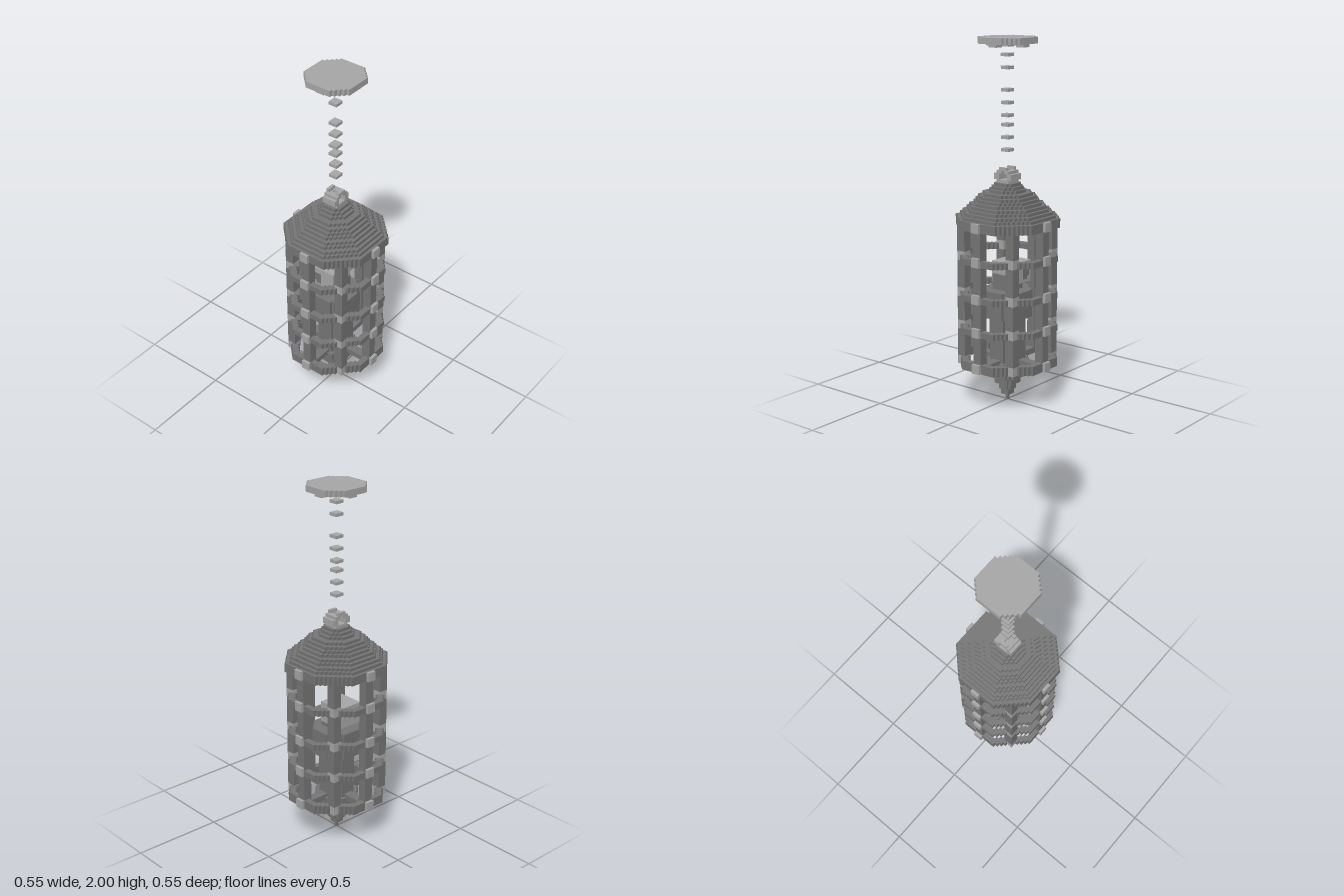
import * as THREE from 'three';

const U = 2 / 119; // edge of one cube cell
const { abs, floor, round, max } = Math;

// Octagonal footprint of radius r cells
const oct = (x, z, r, d = floor(1.414 * (r + 0.5) + 0.1)) =>
  r >= 0 && max(abs(x), abs(z)) <= r && abs(x) + abs(z) <= d;

const key = (x, y, z) => x + 20 + 40 * (z + 20) + 1600 * (y + 1);

export function createModel() {
  const iron = new THREE.MeshStandardMaterial({ name: 'darkIron', color: 0x777777 });
  const pale = new THREE.MeshStandardMaterial({ name: 'paleMetal', color: 0xa8a8a8 });
  const cells = new Map();
  const materials = {};

  // Fill the cells of layers y0..y1 that pass a test; later parts replace earlier ones
  function fill(part, material, y0, y1, test) {
    materials[part] = material;
    for (let y = y0; y <= y1; y++)
      for (let x = -16; x <= 16; x++)
        for (let z = -16; z <= 16; z++)
          if (test(x, z, y)) cells.set(key(x, y, z), { part, p: [x, y, z] });
  }

  // Ceiling plate with four bolts and a centre mount
  fill('ceilingPlate', pale, 117, 118, (x, z) => oct(x, z, 8));
  fill('ceilingBolts', pale, 116, 116, (x, z) =>
    [[0, 0], [6, 0], [-6, 0], [0, 6], [0, -6]].some(([a, b]) => abs(x - a) <= 1 && abs(z - b) <= 1));

  // Chain of loose links
  for (const y of [83, 87, 91, 94, 98, 102, 109, 113])
    fill('chainLinks', pale, y, y, (x, z) => abs(x) <= 1 && abs(z) <= 1);

  // Hollow stepped roof
  const roof = [15, 15, 15, 14, 13, 12, 11, 10, 9, 8, 7, 5, 4, 3, 2];
  roof.forEach((r, i) => fill('roof', iron, 59 + i, 59 + i, (x, z) =>
    oct(x, z, r) && !(i < 13 && oct(x, z, r - 3))));

  // Hanging ring on the roof
  const ringHalf = [2, 3, 3, 2, 1];
  fill('hangingRing', pale, 73, 77, (x, z, y) => {
    const hole = (y === 74 || y === 75) ? abs(x) <= 1 : y === 76 && x === 0;
    return abs(x) <= ringHalf[y - 73] && abs(z) <= 2 && !hole && !(y === 77 && abs(z) < 2);
  });

  // Eight cage bars
  const axisBar = (a, b) => abs(a) >= 13 && abs(a) <= 15 && abs(b) <= 1;
  const diagonalBar = (x, z) => abs(abs(x) - 10) <= 1 && abs(abs(z) - 10) <= 1;
  fill('cageBars', iron, 13, 60, (x, z) => axisBar(x, z) || axisBar(z, x) || diagonalBar(x, z));

  // Hoops round the bars
  for (const [y, h] of [[13, 3], [25, 2], [36, 2], [48, 2]])
    fill('hoops', iron, y, y + h - 1, (x, z) => oct(x, z, 15, 21) && !oct(x, z, 13, 18));

  // Rivet blocks where bars and hoops meet
  for (const y of [13, 25, 36, 48, 59])
    fill('rivets', pale, y, y + 2, (x, z) =>
      (abs(x) === 16 && abs(z) <= 1) || (abs(z) === 16 && abs(x) <= 1) ||
      (y < 59 && diagonalBar(x, z)));

  // Floor spokes and pointed bottom
  fill('floorSpokes', iron, 13, 14, (x, z) =>
    (abs(x) <= 1 && abs(z) <= 13) || (abs(z) <= 1 && abs(x) <= 13));
  fill('bottomPoint', iron, 0, 13, (x, z, y) => oct(x, z, round(y * 0.48)));

  // Inner column, drum and neck
  fill('innerColumn', iron, 13, 28, (x, z) => oct(x, z, 5));
  fill('innerDrum', iron, 29, 37, (x, z) => oct(x, z, 7));
  fill('neck', iron, 38, 40, (x, z) => abs(x) <= 3 && abs(z) <= 3);

  // Pale head block with dark front and side patches
  fill('headBlock', pale, 40, 46, (x, z) => abs(x) <= 4 && z >= -6 && z <= 2);
  fill('headFront', iron, 40, 42, (x, z) => abs(x) <= 3 && z >= 2 && z <= 3);
  fill('headSides', iron, 41, 44, (x, z, y) =>
    abs(x) === 4 && abs(z + 4) <= 1 && !(y === 41 && z === -5));

  // Turn the exposed cell faces into one mesh per part
  const faces = {};
  for (const { part, p } of cells.values()) {
    const f = (faces[part] ??= { pos: [], nor: [], idx: [] });
    for (let a = 0; a < 3; a++) for (const s of [1, -1]) {
      const n = [0, 0, 0];
      n[a] = s;
      if (cells.has(key(p[0] + n[0], p[1] + n[1], p[2] + n[2]))) continue;
      const base = f.pos.length / 3;
      for (const [u, v] of [[-1, -1], [1, -1], [1, 1], [-1, 1]]) {
        const c = [p[0], p[1] + 0.5, p[2]];
        c[a] += s / 2;
        c[(a + 1) % 3] += (u * s) / 2; // mirrored on the negative side to keep faces outward
        c[(a + 2) % 3] += v / 2;
        f.pos.push(c[0] * U, c[1] * U, c[2] * U);
        f.nor.push(...n);
      }
      f.idx.push(base, base + 1, base + 2, base, base + 2, base + 3);
    }
  }

  const group = new THREE.Group();
  group.name = 'hangingCage';
  for (const [part, f] of Object.entries(faces)) {
    const g = new THREE.BufferGeometry();
    g.setAttribute('position', new THREE.Float32BufferAttribute(f.pos, 3));
    g.setAttribute('normal', new THREE.Float32BufferAttribute(f.nor, 3));
    g.setIndex(f.idx);
    const mesh = new THREE.Mesh(g, materials[part]);
    mesh.name = part;
    group.add(mesh);
  }
  return group;
}
